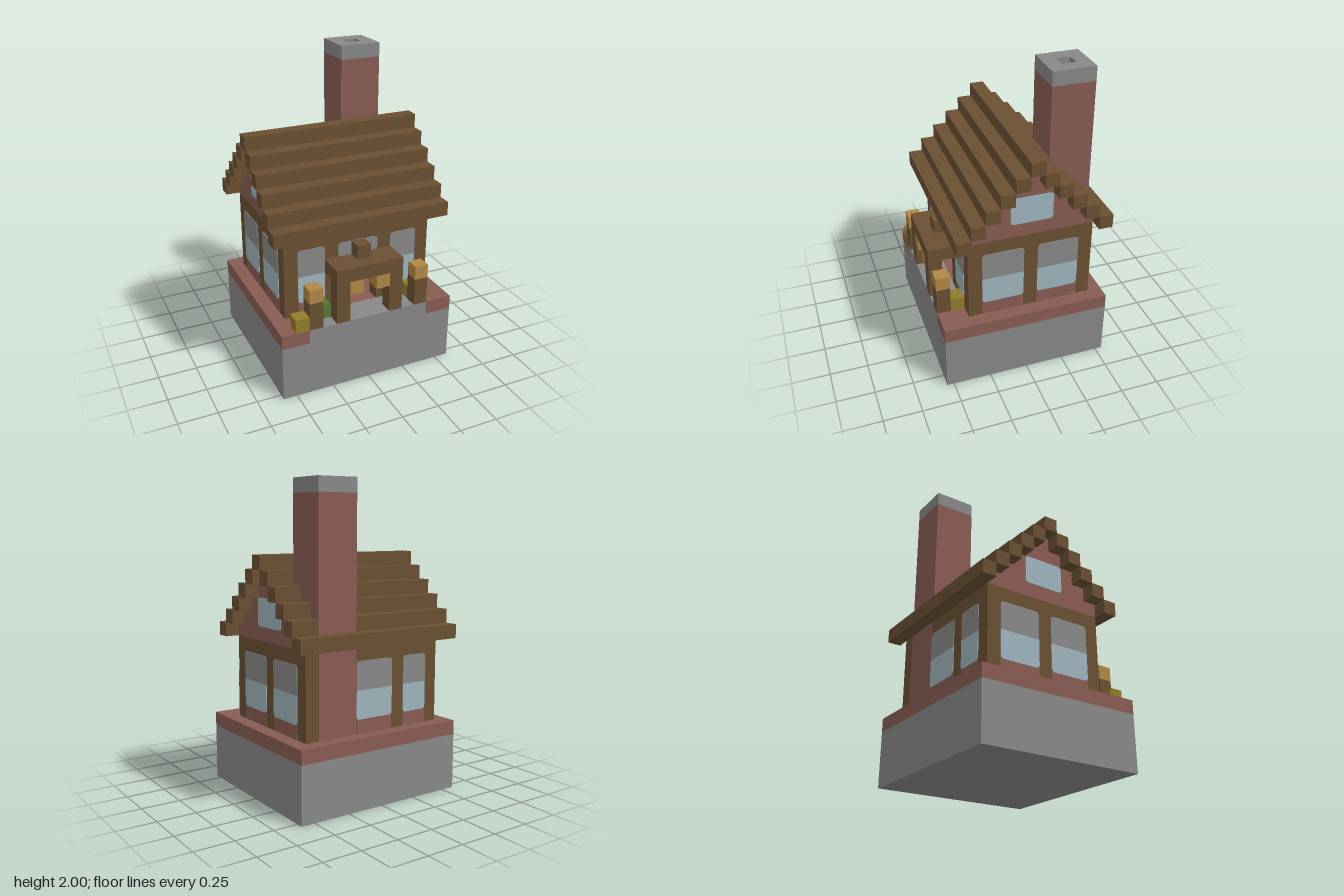
import * as THREE from 'three';

const U = 1 / 11; // one block

const material = (name, color) => {
  const m = new THREE.MeshStandardMaterial({ color });
  m.name = name;
  return m;
};

export function createModel() {
  const wood = material('brown wood', 0x6b5033);
  const brick = material('red brick', 0x885c53);
  const stone = material('grey stone', 0x888888);
  const glass = material('pale glass', 0x9eb5be);
  const lamp = material('amber lamp', 0xb18745);
  const straw = material('olive straw', 0x927d2b);
  const leaf = material('green leaf', 0x527a2d);

  const house = new THREE.Group();
  house.name = 'cottage';

  const add = (name, geometry, mat) => {
    const mesh = new THREE.Mesh(geometry, mat);
    mesh.name = name;
    house.add(mesh);
    return mesh;
  };

  // Box between two corners, in blocks
  const box = (name, mat, x0, x1, y0, y1, z0, z1) => {
    const g = new THREE.BoxGeometry((x1 - x0) * U, (y1 - y0) * U, (z1 - z0) * U);
    g.translate((x0 + x1) / 2 * U, (y0 + y1) / 2 * U, (z0 + z1) / 2 * U);
    return add(name, g, mat);
  };

  // Panel set through a one-block wall, with softened top (rt) or bottom (rb) corners
  const panel = (name, mat, axis, centre, a0, a1, y0, y1, rt, rb, proud) => {
    const s = new THREE.Shape();
    s.moveTo(a0 + rb, y0);
    s.lineTo(a1 - rb, y0);
    if (rb) s.quadraticCurveTo(a1, y0, a1, y0 + rb);
    s.lineTo(a1, y1 - rt);
    if (rt) s.quadraticCurveTo(a1, y1, a1 - rt, y1);
    s.lineTo(a0 + rt, y1);
    if (rt) s.quadraticCurveTo(a0, y1, a0, y1 - rt);
    s.lineTo(a0, y0 + rb);
    if (rb) s.quadraticCurveTo(a0, y0, a0 + rb, y0);
    const depth = 1 + 2 * proud;
    const g = new THREE.ExtrudeGeometry(s, { depth, bevelEnabled: false, curveSegments: 3 });
    g.translate(0, 0, -depth / 2);
    if (axis === 'x') g.rotateY(-Math.PI / 2);
    g.translate(axis === 'x' ? centre : 0, 0, axis === 'z' ? centre : 0);
    g.scale(U, U, U);
    return add(name, g, mat);
  };

  // Brick sill, glass and grey upper blind
  const tallWindow = (axis, centre, a0, a1) => {
    panel('windowSill', brick, axis, centre, a0, a1, 5, 6.4, 0, 0, 0.02);
    panel('windowGlass', glass, axis, centre, a0, a1, 6, 8, 0, 0.25, 0.05);
    panel('windowBlind', stone, axis, centre, a0, a1, 8, 10, 0.25, 0, 0.05);
  };

  // Foundation, brick rim and front paving
  box('foundation', stone, -6.5, 6.5, 0, 4, -6, 6);
  box('brickRim', brick, -6.5, 6.5, 4, 5, -6, 4);
  box('paving', stone, -4.5, 4.5, 4, 5, 4, 6);

  for (const s of [-1, 1]) {
    const mirrored = (name, mat, a, b, ...rest) =>
      box(name, mat, Math.min(s * a, s * b), Math.max(s * a, s * b), ...rest);

    mirrored('rimCorner', brick, 4.5, 6.5, 4, 5, 4, 6);

    // Side wall with two windows
    mirrored('sideWall', wood, 4.5, 5.5, 5, 11, -5, 4);
    tallWindow('x', s * 5, 0, 3);
    tallWindow('x', s * 5, -4, -1);

    // Stepped gable with its window
    for (let i = 0; i < 5; i++) {
      mirrored('gable', brick, 4.5, 5.5, 11 + i, 12 + i, -5 + i, 4 - i);
    }
    panel('gableWindow', glass, 'x', s * 5, -2, 1, 12, 14, 0.25, 0.25, 0.05);

    // Front wall beside the doorway
    mirrored('frontWall', wood, 1.5, 4.5, 5, 11, 3, 4);
    tallWindow('z', 3.5, s > 0 ? 2.5 : -4.5, s > 0 ? 4.5 : -2.5);

    // Lamp posts, porch posts and porch lamps
    mirrored('lampPost', wood, 3.5, 4.5, 5, 7, 5, 6);
    mirrored('lampPostLight', lamp, 3.5, 4.5, 7, 8, 5, 6);
    mirrored('porchPost', wood, 1.5, 2.5, 5, 8, 5, 6);
    mirrored('porchLamp', lamp, 0.5, 1.5, 7, 8, 5, 6);
  }

  // Front lintel and the light above the door
  box('doorLintel', wood, -1.5, 1.5, 8, 11, 3, 4);
  panel('doorTopLight', stone, 'z', 3.5, -1.5, 1.5, 9, 10, 0.25, 0.25, 0.05);

  // Back wall, beside the chimney breast
  box('backWall', wood, -4.5, 1.5, 5, 11, -5, -4);
  tallWindow('z', -4.5, -1.5, 1.5);
  tallWindow('z', -4.5, -4.5, -2.5);

  // Porch roof
  box('porchRoof', wood, -2.5, 2.5, 8, 9, 4, 6);
  box('porchFinial', wood, -0.5, 0.5, 9, 10, 4, 5);

  // Stepped roof courses; the rear ones break around the chimney
  box('roofRidge', wood, -6.5, 6.5, 16, 17, -1, 0);
  for (let i = 0; i < 5; i++) {
    const y = 11 + i;
    box('frontRoofCourse', wood, -6.5, 6.5, y, y + 1, 4 - i, 5 - i);
    const z = -6 + i;
    if (z >= -5 && z < -2) {
      box('backRoofCourse', wood, -6.5, 1.5, y, y + 1, z, z + 1);
      box('backRoofCourse', wood, 4.5, 6.5, y, y + 1, z, z + 1);
    } else {
      box('backRoofCourse', wood, -6.5, 6.5, y, y + 1, z, z + 1);
    }
  }

  // Chimney with a square flue in its stone cap
  box('chimney', brick, 1.5, 4.5, 5, 21, -5, -2);
  const cap = new THREE.Shape();
  cap.moveTo(1.5, 2).lineTo(4.5, 2).lineTo(4.5, 5).lineTo(1.5, 5).closePath();
  const flue = new THREE.Path();
  flue.moveTo(2.5, 3).lineTo(2.5, 4).lineTo(3.5, 4).lineTo(3.5, 3).closePath();
  cap.holes.push(flue);
  const capGeometry = new THREE.ExtrudeGeometry(cap, { depth: 1, bevelEnabled: false });
  capGeometry.rotateX(-Math.PI / 2).translate(0, 21, 0).scale(U, U, U);
  add('chimneyCap', capGeometry, stone);

  // Garden blocks
  box('strawBale', straw, -5.5, -4.5, 5, 6, 5, 6);
  box('strawBale', straw, 3.5, 4.5, 5, 6, 4, 5);
  box('bush', leaf, -3.5, -2.5, 5, 6, 4, 5);

  // Furniture seen through the doorway
  box('counter', stone, -1.5, -0.5, 5, 6, -4, -3);
  box('pottedPlant', leaf, -1.5, -0.5, 6, 7, -4, -3);
  box('stove', stone, -0.5, 0.5, 5, 7, -4, -3);
  box('cupboard', wood, 0.5, 1.5, 5, 7, -4, -3);

  return house;
}
